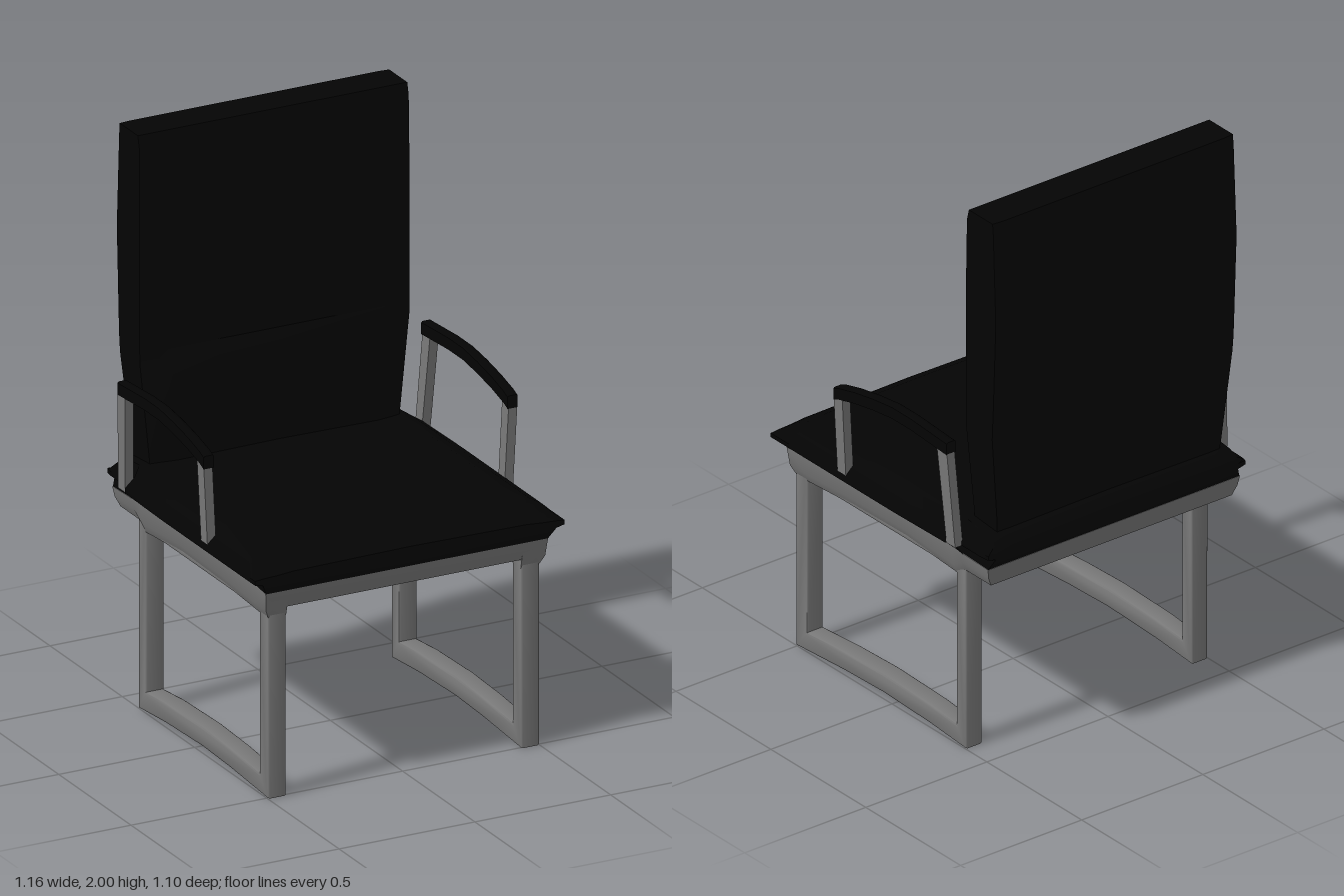
import * as THREE from 'three';
import { toCreasedNormals } from 'three/addons/utils/BufferGeometryUtils.js';

const black = new THREE.MeshStandardMaterial({ color: 0x040404 });
const metal = new THREE.MeshStandardMaterial({ color: 0x787878 });

// Skin closed rings of [x, y, z] points, cap both ends, and make it face outwards.
function loft(rings, crease = 0.7) {
  const n = rings[0].length, tris = [];
  for (let i = 0; i < rings.length - 1; i++) {
    for (let j = 0; j < n; j++) {
      const k = (j + 1) % n;
      const a = rings[i][j], b = rings[i][k], c = rings[i + 1][k], d = rings[i + 1][j];
      tris.push([a, b, c], [a, c, d]);
    }
  }
  const cap = (ring, flip) => {
    const mid = [0, 1, 2].map(q => ring.reduce((s, p) => s + p[q], 0) / n);
    ring.forEach((p, j) => {
      const r = ring[(j + 1) % n];
      tris.push(flip ? [mid, r, p] : [mid, p, r]);
    });
  };
  cap(rings[0], true);
  cap(rings[rings.length - 1], false);
  const v = t => new THREE.Vector3(...t);
  const volume = tris.reduce((s, [a, b, c]) => s + v(a).dot(v(b).cross(v(c))), 0);
  if (volume < 0) tris.forEach(t => t.reverse());
  const geo = new THREE.BufferGeometry();
  geo.setAttribute('position', new THREE.Float32BufferAttribute(tris.flat(2), 3));
  return toCreasedNormals(geo, crease);
}

function add(group, name, geo, mat) {
  const mesh = new THREE.Mesh(geo, mat);
  mesh.name = name;
  group.add(mesh);
  return mesh;
}

// Complete a half outline (from the centre line round to the centre line) across x = 0.
const mirrored = half => [...half, ...half.slice(1, -1).reverse().map(([x, y, z]) => [-x, y, z])];

// Padded seat with a thin side lip: sections from front to back [z, half width, top, bottom].
// The underside is pulled in at both ends.
function seatGeometry() {
  const stations = [
    [0.55, 0.57, 0.805, 0.728], [0.52, 0.57, 0.825, 0.728], [0.45, 0.57, 0.86, 0.735],
    [0.2, 0.57, 0.88, 0.748], [-0.1, 0.57, 0.88, 0.75], [-0.36, 0.565, 0.86, 0.735],
    [-0.4, 0.535, 0.855, 0.73], [-0.51, 0.535, 0.845, 0.728], [-0.535, 0.533, 0.82, 0.728],
    [-0.547, 0.53, 0.795, 0.728]];
  return loft(stations.map(([z, w, top, low]) => {
    const zl = Math.min(Math.max(z, -0.53), 0.53);
    return mirrored([
      [0, top, z], [0.43, top - 0.005, z], [0.49, Math.min(top - 0.01, 0.848), z],
      [w - 0.033, Math.min(top - 0.012, 0.82), z], [w, 0.79, z], [w, 0.775, z],
      [w - 0.03, 0.768, z], [0.519, low, zl], [0, low, zl]]);
  }), 0.9);
}

// Tall boxy backrest with a padded, creased front: [y, half width, front z, back z] upwards.
function backrestGeometry() {
  const stations = [
    [0.79, 0.455, -0.36, -0.5], [0.87, 0.462, -0.355, -0.51], [1.2, 0.496, -0.35, -0.527],
    [1.245, 0.497, -0.372, -0.53], [1.29, 0.497, -0.36, -0.533], [1.58, 0.497, -0.366, -0.545],
    [1.62, 0.497, -0.378, -0.547], [1.66, 0.497, -0.372, -0.546],
    [1.96, 0.496, -0.39, -0.533], [2, 0.496, -0.4, -0.529]];
  return loft(stations.map(([y, w, f, b]) => {
    const corner = Math.min(f, -0.385);
    return mirrored([
      [0, y, f], [w * 0.8, y, f], [w * 0.92, y, f * 0.6 + corner * 0.4], [w, y, corner],
      [w, y, b + 0.004], [w - 0.04, y, b], [0, y, b]]);
  }));
}

// Sled leg: a closed loop of tube with a slightly bowed runner.
function legGeometry() {
  const b = 0.008, width = 0.07;
  const loop = (s, pts) => {
    s.moveTo(...pts[0]);
    pts.slice(1).forEach(p => s.lineTo(...p));
    s.closePath();
    return s;
  };
  const shape = loop(new THREE.Shape(), [
    [0.508 - b, b], [0.508 - b, 0.66], [-0.389 + b, 0.66], [-0.389 + b, b],
    [-0.2, 0.014 + b], [0.05, 0.022 + b], [0.25, 0.016 + b]]);
  shape.holes.push(loop(new THREE.Path(), [
    [0.448 + b, 0.07 - b], [0.25, 0.085 - b], [0.05, 0.092 - b], [-0.2, 0.085 - b],
    [-0.338 - b, 0.072 - b], [-0.338 - b, 0.64 + b], [0.448 + b, 0.64 + b]]));
  const geo = new THREE.ExtrudeGeometry(shape, {
    depth: width - 2 * b, bevelEnabled: true, bevelThickness: b, bevelSize: b, bevelSegments: 2 });
  geo.translate(0, 0, b - width / 2);
  geo.rotateY(-Math.PI / 2);
  return toCreasedNormals(geo, 0.9);
}

// Side rail: tapered section [top z, bottom z, top y, bottom y].
function railGeometry(s) {
  const stations = [
    [0.53, 0.505, 0.73, 0.63], [0.44, 0.44, 0.738, 0.632], [0.2, 0.2, 0.75, 0.645],
    [-0.08, -0.08, 0.755, 0.65], [-0.34, -0.34, 0.738, 0.632], [-0.39, -0.39, 0.735, 0.66],
    [-0.532, -0.518, 0.73, 0.66]];
  return loft(stations.map(([zt, zb, t, b]) => [
    [s * 0.432, t, zt], [s * 0.52, t, zt], [s * 0.514, b + 0.035, zt * 0.6 + zb * 0.4],
    [s * 0.497, b, zb], [s * 0.432, b, zb]]), 0.9);
}

// Arched arm pad: [z, top y].
function armPadGeometry(s) {
  const path = [[0.21, 1.108], [0.18, 1.12], [0.1, 1.14], [0, 1.158], [-0.1, 1.17], [-0.2, 1.17], [-0.388, 1.158]];
  return loft(path.map(([z, y]) => [
    [s * 0.541, y - 0.045, z], [s * 0.541, y - 0.004, z], [s * 0.546, y, z],
    [s * 0.573, y, z], [s * 0.578, y - 0.004, z], [s * 0.578, y - 0.045, z]]));
}

// Flat arm post leaning inwards; foot and head are [y, front z, back z].
function postGeometry(s, foot, head) {
  const ring = ([y, z1, z2], x) => [[x, z1], [x + 0.032, z1], [x + 0.032, z2], [x, z2]].map(([a, z]) => [s * a, y, z]);
  return loft([ring(foot, 0.53), ring(head, 0.546)]);
}

export function createModel() {
  const chair = new THREE.Group();
  chair.name = 'armchair';

  add(chair, 'seat', seatGeometry(), black);
  add(chair, 'backrest', backrestGeometry(), black);

  // Seat pan closing the frame from below
  add(chair, 'seatPan', new THREE.BoxGeometry(0.87, 0.07, 0.965).translate(0, 0.697, 0.0225), black);

  // Frame at the back and front of the seat: cross-sections of [y, z, half width]
  const rear = [[0.73, -0.532, 0.52], [0.70, -0.526, 0.514], [0.66, -0.518, 0.497], [0.66, -0.455, 0.497], [0.73, -0.455, 0.497]];
  const front = [[0.73, 0.53, 0.52], [0.70, 0.524, 0.514], [0.662, 0.51, 0.497], [0.73, 0.503, 0.497]];
  for (const [name, section] of [['backRail', rear], ['frontRail', front]]) {
    add(chair, name, loft([-1, 1].map(s => section.map(([y, z, x]) => [s * x, y, z]))), metal);
  }

  for (const s of [-1, 1]) {
    const side = s > 0 ? 'left' : 'right';
    add(chair, side + 'Leg', legGeometry(), metal).position.x = s * 0.466;
    add(chair, side + 'SideRail', railGeometry(s), metal);
    const arm = new THREE.Group();
    arm.name = side + 'Armrest';
    add(arm, 'armPad', armPadGeometry(s), black);
    add(arm, 'frontPost', postGeometry(s, [0.775, 0.207, 0.163], [1.085, 0.209, 0.163]), metal);
    add(arm, 'rearPost', postGeometry(s, [0.775, -0.366, -0.412], [1.13, -0.335, -0.387]), metal);
    chair.add(arm);
  }
  return chair;
}
